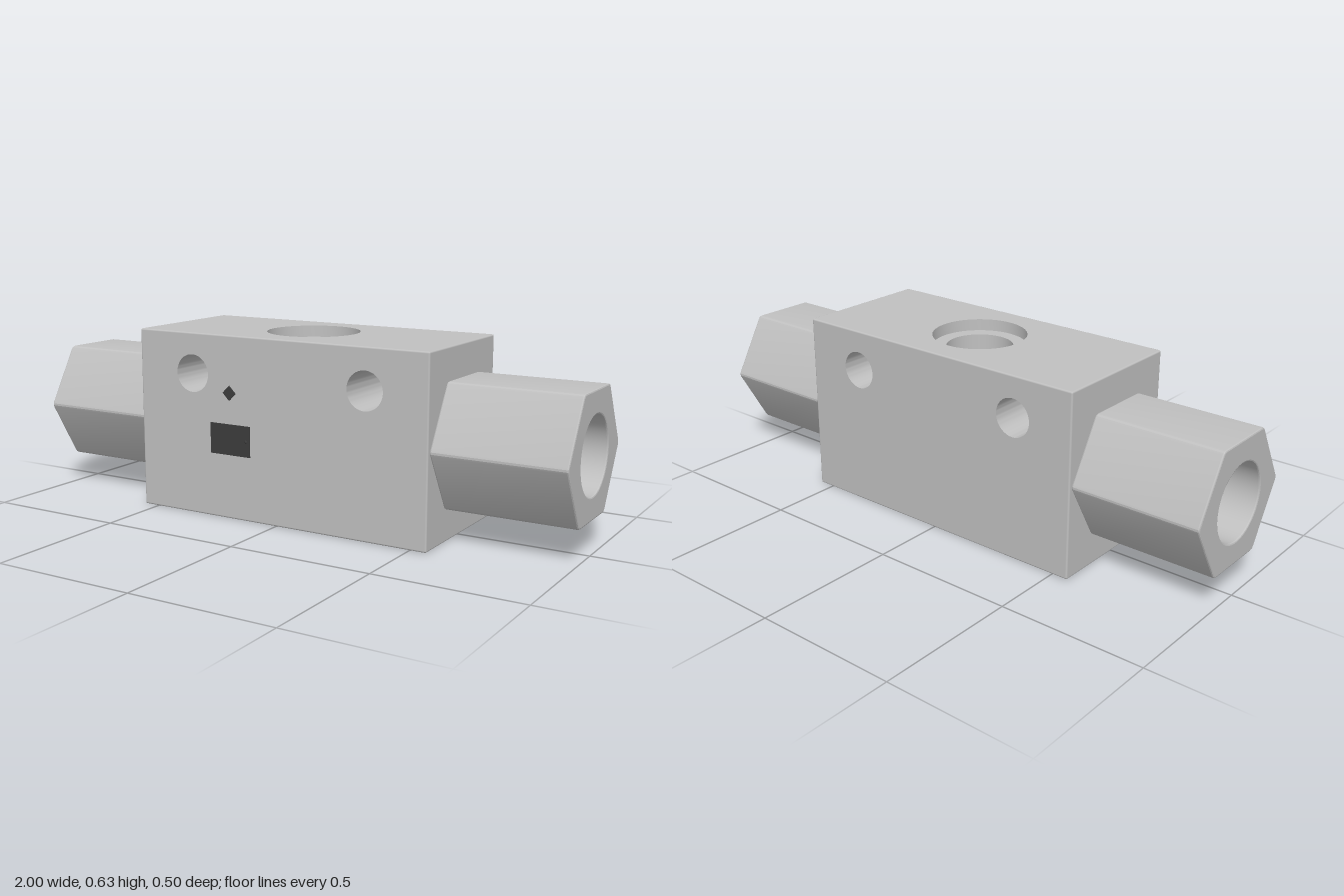
import * as THREE from 'three';
import { toCreasedNormals } from 'three/addons/utils/BufferGeometryUtils.js';
import { RoundedBoxGeometry } from 'three/addons/geometries/RoundedBoxGeometry.js';

const W = 1.116, H = 0.632, D = 0.492, CZ = -0.004; // body block
const PORT_Y = 0.317, SEG = 64;
const HOLE_X = 0.335, HOLE_Y = 0.492, HOLE_R = 0.065;
const TOP_R = 0.16, EDGE = 0.006;

const steel = new THREE.MeshStandardMaterial({ color: 0xc0c0c0 });
steel.name = 'steel grey';
const dark = new THREE.MeshStandardMaterial({ color: 0x3c3c3c });
dark.name = 'marking dark grey';

function add(group, name, geometry, material = steel) {
  const mesh = new THREE.Mesh(geometry, material);
  mesh.name = name;
  group.add(mesh);
  return mesh;
}

// rounded block without its large flat faces on top, front and back
function blockShell() {
  const g = new RoundedBoxGeometry(W, H, D, 2, EDGE).toNonIndexed();
  const pos = g.attributes.position, nor = g.attributes.normal;
  const p = [], n = [];
  const tri = new THREE.Triangle(), normal = new THREE.Vector3();
  for (let i = 0; i < pos.count; i += 3) {
    tri.setFromAttributeAndIndices(pos, i, i + 1, i + 2);
    tri.getNormal(normal);
    const large = tri.getArea() > 0.05;
    if (large && (normal.y > 0.9 || Math.abs(normal.z) > 0.9)) continue;
    for (let k = i; k < i + 3; k++) {
      p.push(pos.getX(k), pos.getY(k), pos.getZ(k));
      n.push(nor.getX(k), nor.getY(k), nor.getZ(k));
    }
  }
  const out = new THREE.BufferGeometry();
  out.setAttribute('position', new THREE.Float32BufferAttribute(p, 3));
  out.setAttribute('normal', new THREE.Float32BufferAttribute(n, 3));
  return out;
}

// flat rectangular face pierced by round holes, facing +z
function piercedFace(w, h, holes) {
  const a = w / 2 - EDGE, b = h / 2 - EDGE;
  const shape = new THREE.Shape();
  shape.moveTo(-a, -b).lineTo(a, -b).lineTo(a, b).lineTo(-a, b).closePath();
  for (const [x, y, r] of holes) {
    shape.holes.push(new THREE.Path().absarc(x, y, r, 0, Math.PI * 2, true));
  }
  return new THREE.ShapeGeometry(shape, SEG / 2);
}

// inward-facing wall of a drilled hole, profile listed from the top down
function drilled(points) {
  const profile = points.map(([r, y]) => new THREE.Vector2(r, y));
  return toCreasedNormals(new THREE.LatheGeometry(profile, SEG), 0.3);
}

// hexagonal prism with softened corners and a round bore
function hexPort(length) {
  const R = 0.2385, soft = 0.05;
  const corner = i => new THREE.Vector2(Math.cos(i * Math.PI / 3), Math.sin(i * Math.PI / 3)).multiplyScalar(R);
  const shape = new THREE.Shape();
  for (let i = 0; i < 6; i++) {
    const c = corner(i);
    const from = c.clone().lerp(corner(i + 5), soft), to = c.clone().lerp(corner(i + 1), soft);
    if (i === 0) shape.moveTo(from.x, from.y);
    else shape.lineTo(from.x, from.y);
    const curve = new THREE.QuadraticBezierCurve(from, c, to);
    for (const t of [0.33, 0.67, 1]) {
      const q = curve.getPoint(t);
      shape.lineTo(q.x, q.y);
    }
  }
  shape.closePath();
  shape.holes.push(new THREE.Path().absarc(0, 0, 0.128, 0, Math.PI * 2, true));
  const bevel = 0.005;
  const g = new THREE.ExtrudeGeometry(shape, {
    depth: length - 2 * bevel, curveSegments: SEG / 2,
    bevelEnabled: true, bevelSize: bevel, bevelThickness: bevel, bevelOffset: -bevel, bevelSegments: 2,
  });
  g.translate(0, 0, bevel);
  return toCreasedNormals(g, 0.3);
}

export function createModel() {
  const model = new THREE.Group();
  model.name = 'hydraulicValve';

  // main block
  const body = new THREE.Group();
  body.name = 'valveBody';
  body.position.set(0, H / 2, CZ);
  model.add(body);
  add(body, 'blockShell', blockShell());
  const mounts = [-1, 1].map(s => [s * HOLE_X, HOLE_Y - H / 2, HOLE_R]);
  add(body, 'frontFace', piercedFace(W, H, mounts)).position.z = D / 2;
  const back = add(body, 'backFace', piercedFace(W, H, mounts));
  back.rotation.y = Math.PI;
  back.position.z = -D / 2;
  const top = add(body, 'topFace', piercedFace(W, D, [[0, 0, TOP_R]]));
  top.rotation.x = -Math.PI / 2;
  top.position.y = H / 2;

  // mounting holes running right through
  for (const [x, y, r] of mounts) {
    const hole = add(body, 'mountingHole', drilled([[r, D / 2], [r, -D / 2]]));
    hole.rotation.x = Math.PI / 2;
    hole.position.set(x, y, 0);
  }

  // stepped port in the top
  const t = H / 2;
  add(body, 'topPort', drilled([[TOP_R, t], [TOP_R, t - 0.04], [0.113, t - 0.04], [0.113, t - 0.38], [0, t - 0.38]]));

  // hexagonal end ports
  for (const s of [-1, 1]) {
    const port = add(model, s > 0 ? 'leftPort' : 'rightPort', hexPort(1 - W / 2));
    port.rotation.y = s * Math.PI / 2;
    port.position.set(s * W / 2, PORT_Y, CZ);
  }

  // dark markings on the front
  const faceZ = CZ + D / 2;
  add(model, 'labelPlate', new THREE.BoxGeometry(0.16, 0.106, 0.004), dark).position.set(-0.18, 0.277, faceZ + 0.002);
  const diamond = add(model, 'diamondMark', new THREE.BoxGeometry(0.036, 0.036, 0.004), dark);
  diamond.rotation.z = Math.PI / 4;
  diamond.position.set(-0.182, 0.437, faceZ + 0.002);
  const pip = add(model, 'labelPip', new THREE.ConeGeometry(0.007, 0.005, 8), dark);
  pip.rotation.x = Math.PI / 2;
  pip.position.set(-0.115, 0.277, faceZ + 0.0055);

  return model;
}
